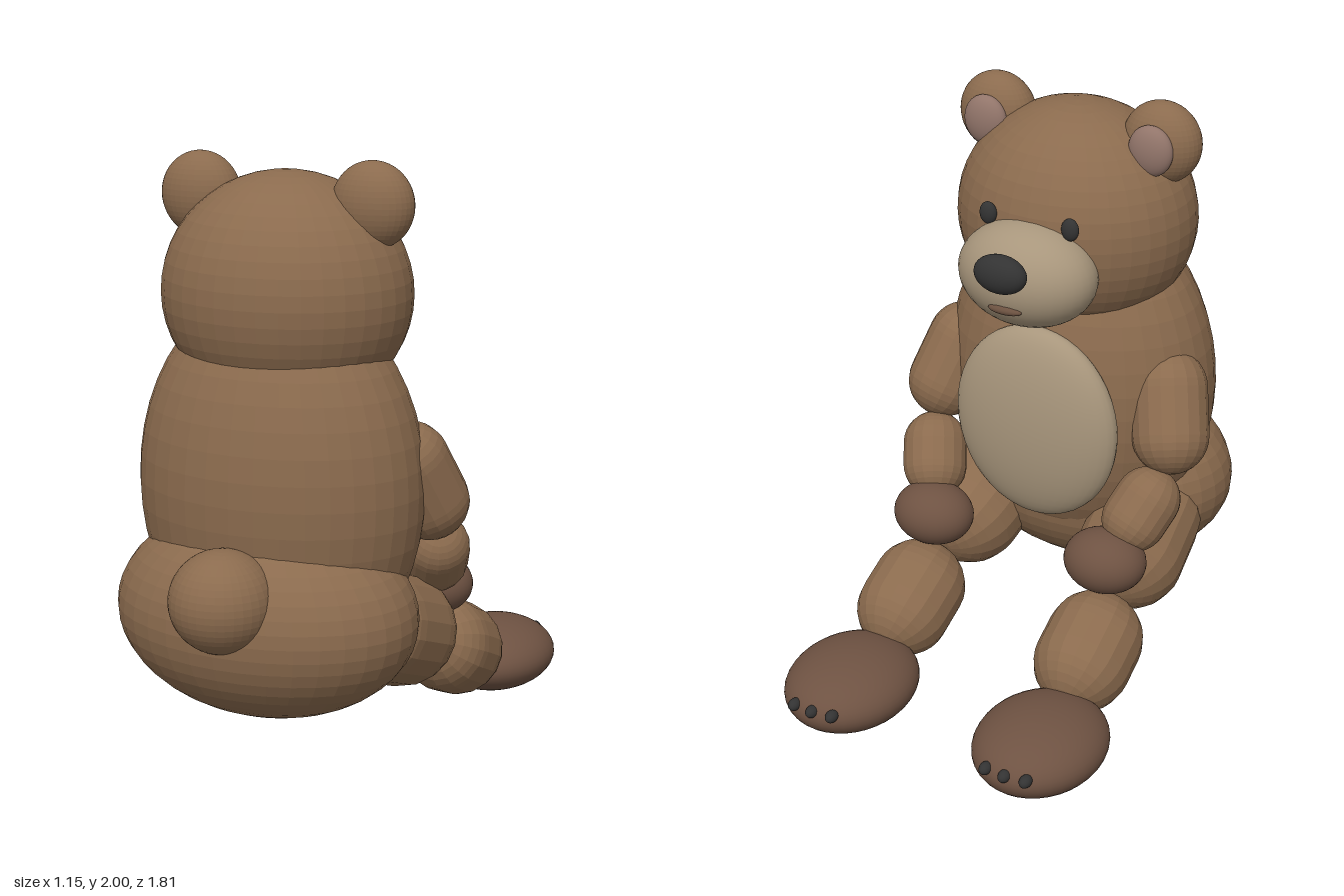
import * as THREE from 'three';

const paint = (color, flatShading = false) => {
  const m = new THREE.MeshStandardMaterial({ color });
  m.flatShading = flatShading;
  return m;
};

export function createModel() {
  const bear = new THREE.Group();
  bear.name = 'sittingBear';

  const fur = paint(0x8b6b4e, true);
  const paw = paint(0x6e5242);
  const cream = paint(0xa8967c);
  const pink = paint(0x92756a);
  const dark = paint(0x333333);
  const lip = paint(0x6b5140);

  const ball = new THREE.SphereGeometry(1, 36, 24);

  // Ellipsoid from centre and radii
  const blob = (name, mat, pos, radii, parent = bear) => {
    const mesh = new THREE.Mesh(ball, mat);
    mesh.name = name;
    mesh.position.set(...pos);
    mesh.scale.set(...radii);
    parent.add(mesh);
    return mesh;
  };

  // Round-ended limb section between two cap centres
  const limb = (name, a, b, r, parent) => {
    const from = new THREE.Vector3(...a), to = new THREE.Vector3(...b);
    const dir = to.clone().sub(from);
    const mesh = new THREE.Mesh(new THREE.CapsuleGeometry(r, dir.length(), 8, 18), fur);
    mesh.name = name;
    mesh.position.copy(from).add(to).multiplyScalar(0.5);
    mesh.quaternion.setFromUnitVectors(new THREE.Vector3(0, 1, 0), dir.normalize());
    parent.add(mesh);
  };

  // Trunk
  blob('hips', fur, [0, 0.56, 0.44], [0.51, 0.34, 0.37]);
  blob('torso', fur, [0, 0.96, 0.33], [0.48, 0.64, 0.365]);
  blob('bellyPatch', cream, [0, 0.91, 0], [0.3, 0.35, 0.1]);
  blob('tail', fur, [0, 0.675, 0.735], [0.17, 0.165, 0.17]);

  // Head and face
  const head = new THREE.Group();
  head.name = 'head';
  bear.add(head);
  blob('skull', fur, [0, 1.57, 0.286], [0.41, 0.385, 0.36], head);
  blob('muzzle', cream, [0, 1.48, -0.058], [0.24, 0.177, 0.172], head);
  blob('nose', dark, [0, 1.545, -0.24], [0.092, 0.065, 0.05], head);
  blob('mouth', lip, [0, 1.41, -0.212], [0.06, 0.016, 0.02], head);

  // Paired parts, mirrored left and right
  for (const [side, s] of [['left', -1], ['right', 1]]) {
    // The face looks along -z, so the sides are named from the bear's own view
    const ear = new THREE.Group();
    ear.name = side + 'Ear';
    head.add(ear);
    blob('earShell', fur, [s * 0.3, 1.863, 0.292], [0.135, 0.137, 0.095], ear);
    blob('innerEar', pink, [s * 0.3, 1.86, 0.205], [0.077, 0.085, 0.04], ear);
    blob(side + 'Eye', dark, [s * 0.148, 1.655, -0.052], [0.03, 0.038, 0.02], head);

    const arm = new THREE.Group();
    arm.name = side + 'Arm';
    bear.add(arm);
    limb('upperArm', [s * 0.39, 1.04, 0.203], [s * 0.432, 0.9, 0.135], 0.13, arm);
    limb('forearm', [s * 0.41, 0.71, 0.018], [s * 0.385, 0.65, -0.028], 0.11, arm);
    blob('hand', paw, [s * 0.33, 0.532, -0.133], [0.142, 0.108, 0.122], arm);

    const leg = new THREE.Group();
    leg.name = side + 'Leg';
    bear.add(leg);
    limb('thigh', [s * 0.3, 0.49, 0.25], [s * 0.315, 0.428, 0.09], 0.187, leg);
    limb('shin', [s * 0.343, 0.28, -0.228], [s * 0.345, 0.238, -0.32], 0.163, leg);
    blob('foot', paw, [s * 0.36, 0.127, -0.637], [0.215, 0.123, 0.255], leg);
    for (const i of [-1, 0, 1]) {
      blob('claw', dark, [s * 0.36 + i * 0.072, 0.155, i ? -0.873 : -0.88],
        [0.02, 0.02, 0.027], leg);
    }
  }
  return bear;
}
